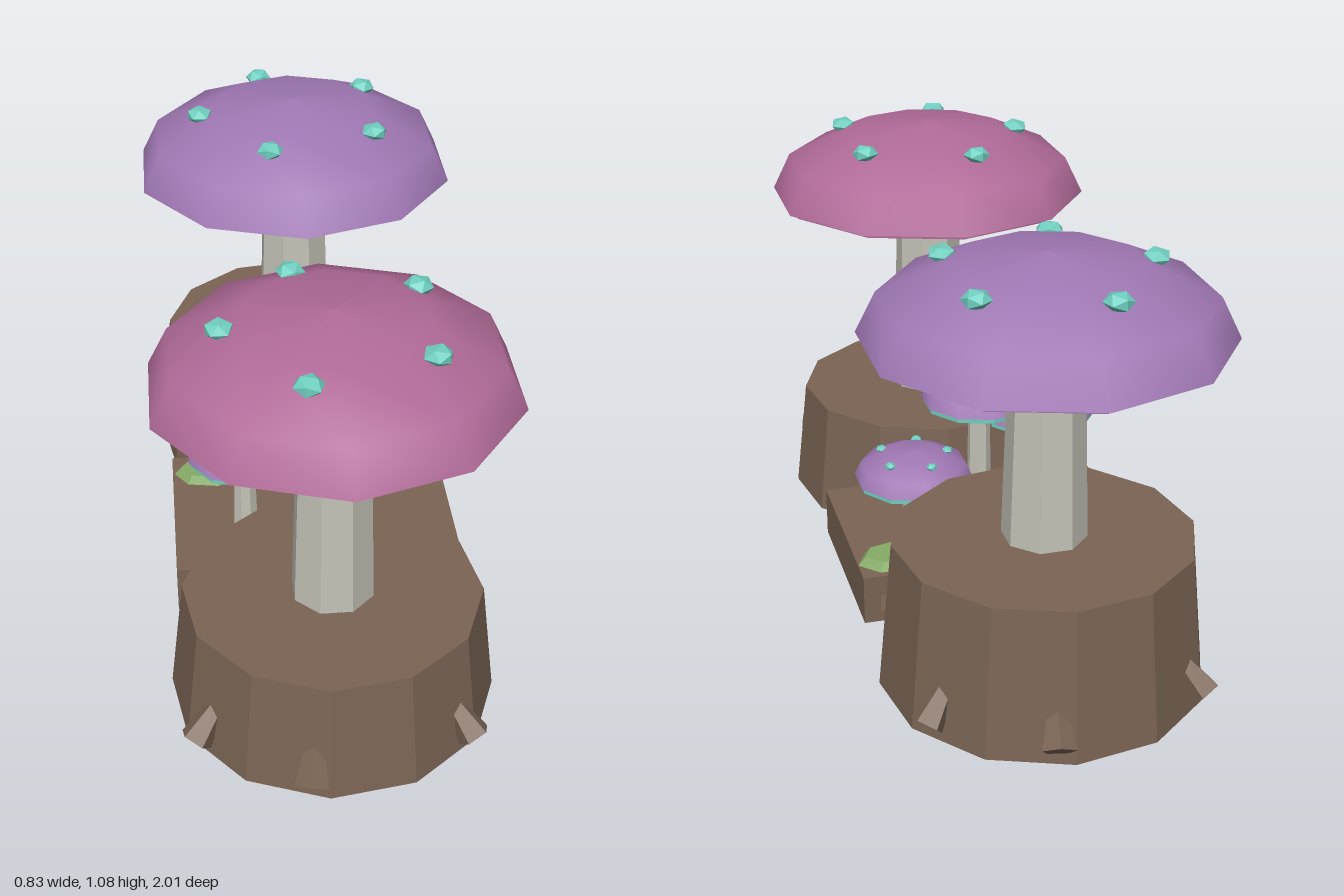
import * as THREE from 'three';

const make = (name, color, extra = {}) => {
  const m = new THREE.MeshStandardMaterial({ color, ...extra });
  m.name = name;
  return m;
};

export function createModel() {
  const root = new THREE.Group();
  root.name = 'mushroomPlatforms';
  const brown = make('bark', 0x7a6454, { flatShading: true, side: THREE.DoubleSide });
  const pink = make('pinkCap', 0xb06a98, { side: THREE.DoubleSide });
  const purple = make('purpleCap', 0xa078b4, { side: THREE.DoubleSide });
  const teal = make('teal', 0x6fcfc0, { flatShading: true });
  const pale = make('stem', 0xc2c2b6, { flatShading: true });
  const green = make('moss', 0x86ab66, { flatShading: true });

  const add = (parent, name, geo, mat, x = 0, y = 0, z = 0) => {
    const m = new THREE.Mesh(geo, mat);
    m.name = name;
    m.position.set(x, y, z);
    parent.add(m);
    return m;
  };
  const lathe = (pts, n, start = 0) =>
    new THREE.LatheGeometry(pts.map(p => new THREE.Vector2(...p)), n, start);

  // Mushroom: stem, domed cap, thin underside disc and five spots
  function mushroom(name, o) {
    const g = new THREE.Group();
    g.name = name;
    g.position.set(o.x, 0, o.z);
    const { r, h, rim, base } = o;
    const stem = new THREE.CylinderGeometry(o.stemTop, o.stemBottom, rim - base, 8, 1, true, Math.PI / 8);
    add(g, 'stem', stem, pale, 0, (rim + base) / 2, 0);
    add(g, 'cap', lathe([[r, 0], [r * 0.89, h * 0.49], [r * 0.5, h * 0.875], [0, h]], 10), o.cap, 0, rim, 0);
    const disc = new THREE.CylinderGeometry(r * o.discScale, r * o.discScale, 0.017, 10);
    add(g, 'capUnderside', disc, o.under, 0, rim - 0.004, 0);
    for (let i = 0; i < 5; i++) {
      const a = -Math.PI / 2 + (i * Math.PI * 2) / 5;
      const d = r * 0.585;
      const spot = add(g, 'spot', new THREE.IcosahedronGeometry(o.spot, 0), teal,
        Math.sin(a) * d, rim + h * 0.81, Math.cos(a) * d);
      spot.scale.y = 0.65;
      spot.rotation.y = a;
    }
    root.add(g);
  }

  // Hollow stump, open underneath, with short root stubs around its foot
  function stump(name, z, h, turn) {
    const g = new THREE.Group();
    g.name = name;
    g.position.z = z;
    g.rotation.y = turn;
    add(g, 'trunk', lathe([[0.4, 0], [0.365, h], [0, h]], 12, -0.105), brown);
    for (const deg of [-56, -12, 48, 136, 228]) {
      const pivot = new THREE.Group();
      pivot.name = 'rootStub';
      pivot.rotation.y = THREE.MathUtils.degToRad(deg);
      const stub = add(pivot, 'root', new THREE.CylinderGeometry(0.022, 0.042, 0.1, 5), brown, 0, 0.09, 0.385);
      stub.rotation.x = -0.75;
      g.add(pivot);
    }
    root.add(g);
  }

  stump('frontStump', 0.565, 0.3, 0);
  stump('backStump', -0.565, 0.375, Math.PI);

  // Two large mushrooms
  const big = { x: 0, r: 0.435, h: 0.2, rim: 0.88, stemTop: 0.087, stemBottom: 0.103, discScale: 0.945, spot: 0.036 };
  mushroom('frontMushroom', { ...big, z: 0.565, base: 0.3, cap: pink, under: pink });
  mushroom('backMushroom', { ...big, z: -0.565, base: 0.375, cap: purple, under: purple });

  // Low block joining the stumps
  add(root, 'bridgeBlock', new THREE.BoxGeometry(0.75, 0.13, 0.505), brown, 0, 0.065, 0.005);

  // Three small mushrooms on the block
  const small = {
    r: 0.153, h: 0.073, base: 0.13, stemTop: 0.028, stemBottom: 0.034,
    discScale: 0.97, spot: 0.015, cap: purple, under: teal,
  };
  [[-0.185, 0.09, 0.383], [0, 0.016, 0.477], [0.205, -0.093, 0.327]].forEach(([x, z, rim]) =>
    mushroom('smallMushroom', { ...small, x, z, rim }));

  // Moss patches along the back of the block
  [[-0.27, 0.2], [0.01, 0.5], [0.275, 0.8]].forEach(([x, turn]) => {
    const geo = new THREE.CylinderGeometry(0.08, 0.1, 0.022, 7);
    geo.rotateY(turn);
    geo.scale(1, 1, 0.68);
    add(root, 'mossPatch', geo, green, x, 0.141, -0.17);
  });

  return root;
}
